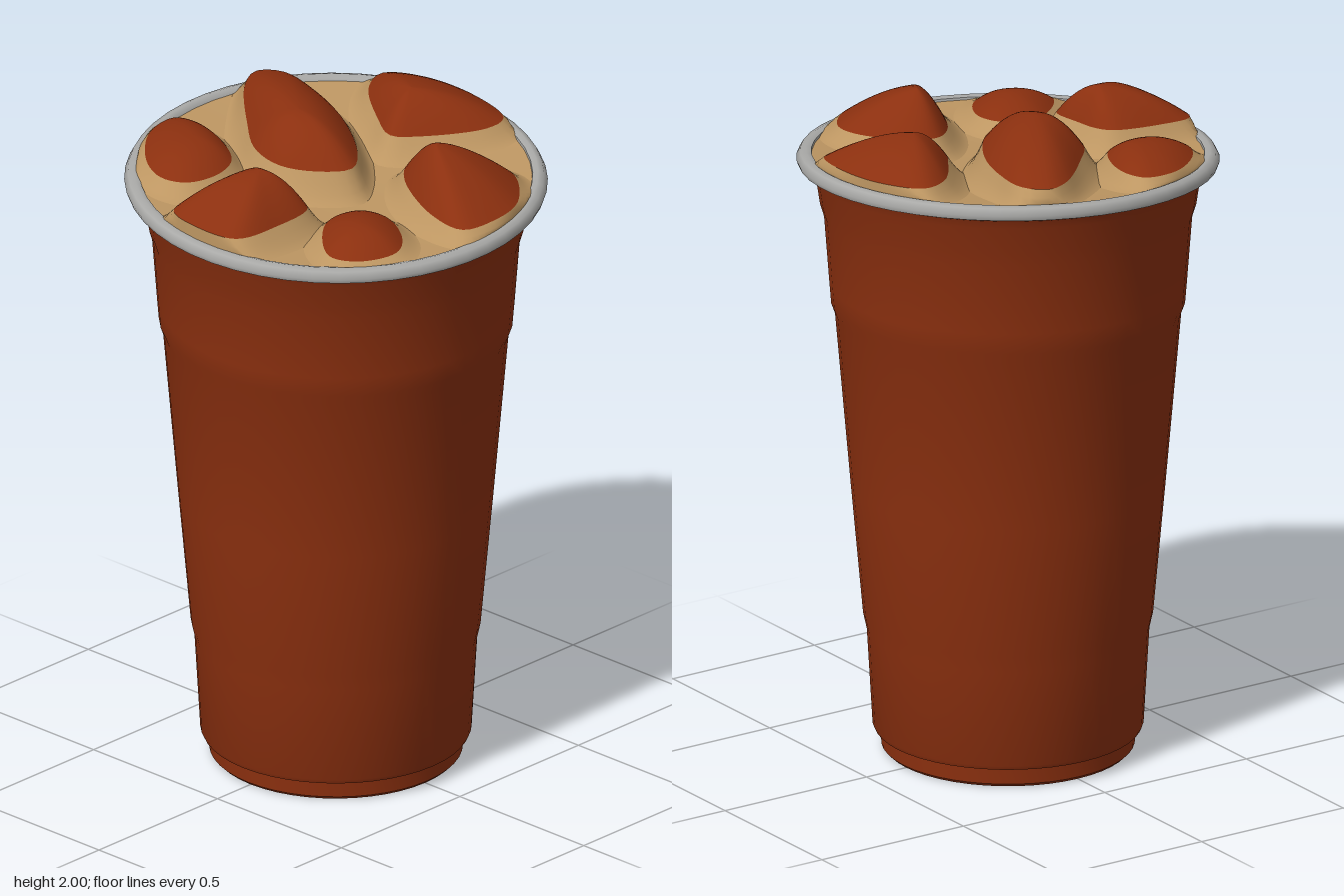
import * as THREE from 'three';
import { toCreasedNormals } from 'three/addons/utils/BufferGeometryUtils.js';

const paint = (name, color) => {
  const m = new THREE.MeshStandardMaterial({ color });
  m.name = name;
  return m;
};

// The rim plane leans gently; the lean fades out towards the base
const RIM = 1.835;
const lean = (x, z) => 0.045 * x - 0.057 * z;
const liquidHeight = (x, z) => RIM + lean(x, z) - 0.03 * (1 - Math.min(1, Math.hypot(x, z) / 0.58) ** 2);

// Turned part whose height follows the lean
function turned(name, profile, material, crease = 0.45) {
  const g = new THREE.LatheGeometry(profile.map(([r, y]) => new THREE.Vector2(r, y)), 48);
  const p = g.attributes.position;
  for (let i = 0; i < p.count; i++) {
    const y = p.getY(i);
    p.setY(i, y + lean(p.getX(i), p.getZ(i)) * (y / RIM) ** 2);
  }
  const mesh = new THREE.Mesh(toCreasedNormals(g, crease), material);
  mesh.name = name;
  return mesh;
}

// Skin over a list of closed rings, ordered from outer to inner
function skin(name, rings, material) {
  const n = rings[0].length, index = [];
  for (let r = 0; r < rings.length - 1; r++) {
    for (let i = 0; i < n; i++) {
      const a = r * n + i, b = r * n + (i + 1) % n;
      index.push(a, b, a + n, b, b + n, a + n);
    }
  }
  const g = new THREE.BufferGeometry();
  g.setAttribute('position', new THREE.Float32BufferAttribute(rings.flat(2), 3));
  g.setIndex(index);
  g.computeVertexNormals();
  const mesh = new THREE.Mesh(g, material);
  mesh.name = name;
  return mesh;
}

// Ice lump: a dome over an outline, with a liquid skirt running down around it
function iceLump({ name, outline, peak, edge, power }, iceMat, liquidMat) {
  const curve = new THREE.CatmullRomCurve3(
    outline.map(([x, z]) => new THREE.Vector3(x, 0, z)), true, 'centripetal');
  const pts = curve.getSpacedPoints(56).slice(0, 56);
  const centre = pts.reduce((c, p) => c.add(p), new THREE.Vector3()).divideScalar(pts.length);
  const [px, py, pz] = peak;
  const edgeY = (p) => RIM + lean(p.x, p.z) + edge;

  const dome = [];
  for (let k = 0; k <= 10; k++) {
    const s = 1 - k / 10;
    dome.push(pts.map((p) => [
      px + (p.x - px) * s,
      edgeY(p) + (py - edgeY(p)) * (1 - s ** power),
      pz + (p.z - pz) * s,
    ]));
  }

  const skirt = [];
  for (let k = 4; k >= 0; k--) {
    const t = k / 4;
    skirt.push(pts.map((p) => {
      const d = p.clone().sub(centre).setLength(0.075 * t);
      const q = p.clone().add(d).clampLength(0, 0.585);
      const low = liquidHeight(q.x, q.z) - 0.004;
      return [q.x, low + (edgeY(p) - low) * (1 - t) ** 1.6, q.z];
    }));
  }

  const group = new THREE.Group();
  group.name = name;
  group.add(skin('iceTop', dome, iceMat), skin('iceSkirt', skirt, liquidMat));
  return group;
}

// Outlines are [x, z]; peaks are [x, y, z]
const ICE = [
  { name: 'iceBackRight', peak: [-0.23, 1.925, -0.36], edge: 0.035, power: 2.2,
    outline: [[-0.13, -0.53], [-0.24, -0.52], [-0.38, -0.4], [-0.42, -0.3], [-0.39, -0.23],
      [-0.3, -0.2], [-0.2, -0.23], [-0.12, -0.37], [-0.105, -0.48]] },
  { name: 'iceCentre', peak: [0, 2.0, -0.15], edge: 0.055, power: 2,
    outline: [[0.22, -0.53], [0.14, -0.5], [-0.03, -0.33], [-0.13, -0.2], [-0.15, -0.08],
      [-0.1, 0.02], [-0.02, 0.08], [0.06, 0.03], [0.18, -0.14], [0.25, -0.32], [0.27, -0.47]] },
  { name: 'iceLeft', peak: [0.36, 1.985, -0.04], edge: 0.04, power: 1.7,
    outline: [[0.49, -0.28], [0.4, -0.25], [0.28, -0.1], [0.23, 0], [0.28, 0.06],
      [0.46, 0.17], [0.54, 0.16], [0.58, 0], [0.56, -0.17]] },
  { name: 'iceRight', peak: [-0.34, 1.97, 0.02], edge: 0.05, power: 1.8,
    outline: [[-0.3, -0.11], [-0.45, -0.135], [-0.56, -0.12], [-0.585, 0], [-0.555, 0.13],
      [-0.42, 0.16], [-0.27, 0.145], [-0.26, 0.02], [-0.27, -0.07]] },
  { name: 'iceFrontRight', peak: [-0.25, 1.87, 0.34], edge: 0.02, power: 2,
    outline: [[-0.2, 0.2], [-0.28, 0.22], [-0.4, 0.36], [-0.36, 0.44], [-0.25, 0.48],
      [-0.17, 0.43], [-0.11, 0.31], [-0.13, 0.23]] },
  { name: 'iceFront', peak: [0.13, 1.98, 0.28], edge: 0.035, power: 1.5,
    outline: [[0.15, 0.15], [0.07, 0.21], [-0.03, 0.42], [-0.03, 0.54], [0.08, 0.565],
      [0.2, 0.54], [0.32, 0.41], [0.32, 0.31], [0.23, 0.18]] },
];

export function createModel() {
  const rust = paint('rust brown', 0x8c300f);
  const tan = paint('creamy tan', 0xbd9662);
  const grey = paint('rim grey', 0xa9a9a7);

  const model = new THREE.Group();
  model.name = 'icedDrinkCup';

  // Stepped cup wall with foot, two bands and a flared lip
  model.add(turned('cupBody', [
    [0, 0], [0.36, 0], [0.37, 0.01], [0.373, 0.06], [0.39, 0.062], [0.396, 0.075],
    [0.413, 0.37], [0.424, 0.42], [0.46, 0.82], [0.506, 1.35], [0.517, 1.38], [0.522, 1.44],
    [0.538, 1.65], [0.55, 1.69], [0.562, 1.77], [0.572, 1.795], [0.613, 1.808],
  ], rust));

  // Rolled rim
  model.add(turned('rim', [
    [0.613, 1.808], [0.618, 1.822], [0.607, 1.842], [0.59, 1.848], [0.574, 1.842], [0.57, 1.82],
  ], grey, 1));

  // Liquid surface, slightly sunken in the middle
  model.add(turned('liquid', [0.58, 0.5, 0.4, 0.3, 0.2, 0.1, 0]
    .map((r) => [r, liquidHeight(0, 0) + 0.03 * (r / 0.58) ** 2]), tan, 1));

  const ice = new THREE.Group();
  ice.name = 'ice';
  ICE.forEach((lump) => ice.add(iceLump(lump, rust, tan)));
  model.add(ice);

  return model;
}
